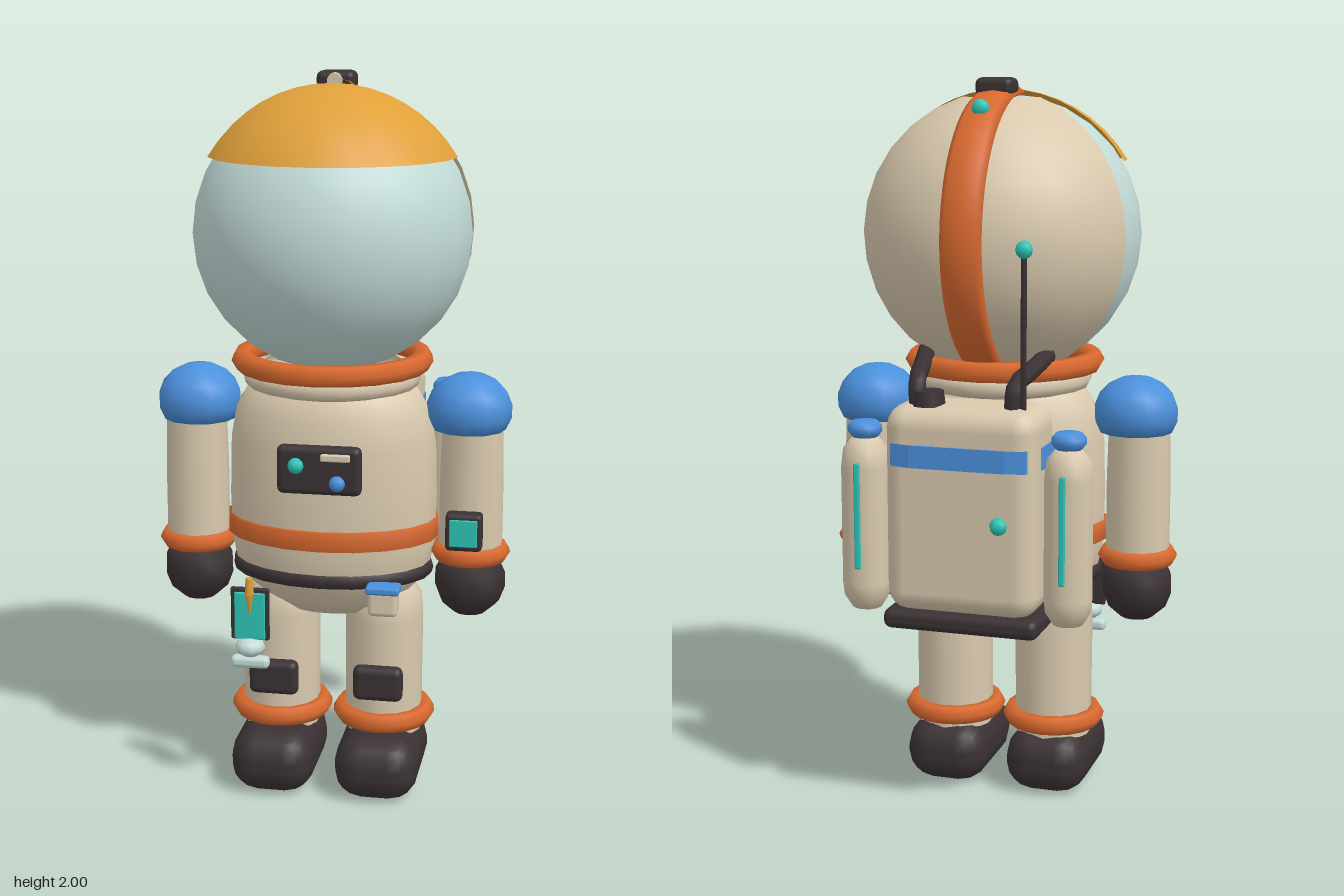
import * as THREE from 'three';
import { RoundedBoxGeometry } from 'three/addons/geometries/RoundedBoxGeometry.js';

const paint = (name, color) => {
  const m = new THREE.MeshStandardMaterial({ color });
  m.name = name;
  return m;
};

export function createModel() {
  const cream = paint('cream fabric', 0xd9c9ae);
  const orange = paint('orange trim', 0xd9692f);
  const blue = paint('blue shell', 0x4b90dc);
  const dark = paint('dark rubber', 0x3a3133);
  const glass = paint('pale glass', 0xc3dcd8);
  const gold = paint('gold visor', 0xe0a03a);
  const teal = paint('teal light', 0x2ec4b6);
  gold.side = cream.side = THREE.DoubleSide;

  const model = new THREE.Group();
  model.name = 'astronaut';
  const Z = 0.037; // body axis

  const add = (name, geo, mat, x = 0, y = 0, z = 0) => {
    const m = new THREE.Mesh(geo, mat);
    m.name = name;
    m.position.set(x, y, z);
    model.add(m);
    return m;
  };
  const box = (name, mat, w, h, d, r, x, y, z) =>
    add(name, new RoundedBoxGeometry(w, h, d, 2, r), mat, x, y, z);
  const lathe = (name, mat, pts, x, z, sides = 16, sz = 1) => {
    const g = new THREE.LatheGeometry(pts.map(p => new THREE.Vector2(p[0], p[1])), sides);
    g.scale(1, 1, sz);
    return add(name, g, mat, x, 0, z);
  };
  const ring = (name, R, tube, x, y, z, sz = 1) => {
    const g = new THREE.TorusGeometry(R, tube, 6, 20);
    g.rotateX(Math.PI / 2).scale(1, 1, sz);
    return add(name, g, orange, x, y, z);
  };
  const bead = (name, mat, r, x, y, z) =>
    add(name, new THREE.SphereGeometry(r, 8, 6), mat, x, y, z);

  // Helmet: glass globe, gold visor, rear shell and crest strap
  const hy = 1.578;
  add('helmetGlass', new THREE.SphereGeometry(0.378, 20, 14), glass, 0, hy, Z);
  add('visor', new THREE.SphereGeometry(0.391, 10, 8, 0, Math.PI, 0, 1.03), gold, 0, hy, Z);
  add('helmetShell', new THREE.SphereGeometry(0.387, 12, 12, Math.PI + 0.3, Math.PI - 0.6, 0.3, 2.5),
    cream, 0, hy, Z);
  const strap = new THREE.TorusGeometry(0.383, 0.02, 8, 24, 2.6);
  strap.rotateZ(Math.PI / 2).rotateY(-Math.PI / 2).scale(2.85, 1, 1);
  // keep the arc on the rear of the globe
  strap.computeBoundingBox();
  if (strap.boundingBox.max.z > 0.3) strap.rotateY(Math.PI);
  add('helmetStrap', strap, orange, 0, hy, Z);
  bead('strapLight', teal, 0.025, 0, 1.92, -0.175);
  box('headCamera', dark, 0.105, 0.05, 0.08, 0.018, 0, 1.974, -0.032);
  const lens = add('cameraLens', new THREE.CylinderGeometry(0.02, 0.022, 0.018, 10), cream, 0, 1.974, 0.008);
  lens.rotation.x = Math.PI / 2;

  // Neck and torso
  ring('neckRing', 0.248, 0.03, 0, 1.23, Z + 0.005);
  lathe('collar', cream, [[0.2, 1.15], [0.235, 1.16], [0.245, 1.18], [0.24, 1.205], [0.19, 1.22]], 0, Z, 20);
  lathe('torso', cream, [[0, 0.515], [0.14, 0.52], [0.21, 0.565], [0.262, 0.62], [0.275, 0.66], [0.288, 0.72],
    [0.292, 0.85], [0.288, 1.0], [0.272, 1.09], [0.235, 1.15], [0.19, 1.17], [0, 1.17]], 0, Z, 20, 0.7);
  lathe('waistBand', orange, [[0.28, 0.732], [0.298, 0.735], [0.298, 0.787], [0.28, 0.79]], 0, Z, 20, 0.715);
  lathe('belt', dark, [[0.25, 0.618], [0.28, 0.625], [0.285, 0.643], [0.28, 0.66], [0.25, 0.667]], 0, Z, 20, 0.7);

  // Chest panel
  box('chestPanel', dark, 0.23, 0.135, 0.04, 0.018, 0, 0.965, 0.245);
  bead('chestLight', teal, 0.022, -0.06, 0.98, 0.27);
  bead('chestButton', blue, 0.022, 0.052, 0.935, 0.27);
  box('chestBar', cream, 0.08, 0.02, 0.016, 0.005, 0.047, 1.005, 0.268);

  for (const s of [1, -1]) {
    const side = s > 0 ? 'left' : 'right';
    // Arm
    const ax = 0.388 * s;
    lathe(side + 'Arm', cream, [[0.088, 0.69], [0.088, 0.9], [0.083, 1.1]], ax, Z, 14);
    const cap = [[0, 1.04]];
    for (let i = 0; i <= 6; i++) {
      const a = -0.55 + (Math.PI / 2 + 0.55) * i / 6;
      cap.push([Math.max(0, 0.118 * Math.cos(a)), 1.1 + 0.102 * Math.sin(a)]);
    }
    lathe(side + 'Shoulder', blue, cap, 0.378 * s, Z, 12);
    ring(side + 'WristCuff', 0.083, 0.027, ax, 0.698, Z);
    lathe(side + 'Glove', dark, [[0, 0.515], [0.045, 0.52], [0.082, 0.553], [0.098, 0.595],
      [0.097, 0.64], [0.08, 0.675], [0, 0.69]], ax, Z, 12);

    // Leg
    const lx = 0.148 * s;
    lathe(side + 'Leg', cream, [[0.108, 0.16], [0.11, 0.5], [0.105, 0.56], [0.075, 0.61], [0, 0.63]], lx, Z, 14);
    ring(side + 'AnkleCuff', 0.117, 0.028, lx, 0.209, Z);
    box(side + 'Boot', dark, 0.237, 0.18, 0.36, 0.08, lx, 0.09, 0.075);
    box(side + 'KneePad', dark, 0.14, 0.1, 0.045, 0.02, lx, 0.33, 0.155);

    // Air tank with cap and gauge strip
    const tx = 0.282 * s, tz = -0.312;
    lathe(side + 'Tank', cream, [[0, 0.58], [0.04, 0.59], [0.062, 0.625], [0.066, 0.66], [0.066, 0.98],
      [0.06, 1.03], [0.035, 1.06], [0, 1.065]], tx, tz, 12);
    lathe(side + 'TankCap', blue, [[0, 1.06], [0.035, 1.06], [0.046, 1.075], [0.046, 1.09], [0.035, 1.103],
      [0, 1.105]], tx, tz, 10);
    box(side + 'TankGauge', teal, 0.016, 0.29, 0.016, 0.004, tx, 0.855, tz - 0.065);

    // Air hose from pack to neck ring
    const path = new THREE.CatmullRomCurve3([[0.13, 1.13, -0.315], [0.135, 1.215, -0.305],
      [0.15, 1.24, -0.23], [0.17, 1.27, -0.13]].map(p => new THREE.Vector3(p[0] * s, p[1], p[2])));
    add(side + 'Hose', new THREE.TubeGeometry(path, 10, 0.024, 8), dark);
    bead(side + 'HoseEnd', dark, 0.024, 0.17 * s, 1.27, -0.13);
  }

  // Backpack
  box('backpack', cream, 0.42, 0.56, 0.225, 0.06, 0, 0.88, -0.275);
  const band = new THREE.Shape();
  band.moveTo(-0.215, 0.16).lineTo(-0.215, 0.31).lineTo(-0.185, 0.38).lineTo(-0.13, 0.394)
    .lineTo(0.13, 0.394).lineTo(0.185, 0.38).lineTo(0.215, 0.31).lineTo(0.215, 0.16);
  const bandGeo = new THREE.ExtrudeGeometry(band, { depth: 0.06, bevelEnabled: false });
  add('backpackBand', bandGeo.rotateX(-Math.PI / 2), blue, 0, 1.0, 0);
  box('backpackBase', dark, 0.43, 0.055, 0.22, 0.022, 0, 0.578, -0.272);
  bead('backpackLight', teal, 0.024, -0.115, 0.86, -0.392);
  add('packValve', new THREE.CylinderGeometry(0.04, 0.045, 0.04, 10), dark, 0.1, 1.175, -0.315);
  add('antenna', new THREE.CylinderGeometry(0.008, 0.008, 0.44, 6), dark, -0.16, 1.35, -0.315);
  bead('antennaTip', teal, 0.024, -0.16, 1.57, -0.315);

  // Wrist screen on the left arm
  box('wristScreenCase', dark, 0.1, 0.105, 0.05, 0.012, 0.38, 0.783, 0.142);
  box('wristScreen', teal, 0.076, 0.076, 0.009, 0.003, 0.38, 0.783, 0.167);

  // Belt pouch
  box('beltPouch', cream, 0.082, 0.075, 0.055, 0.014, 0.172, 0.597, 0.225);
  box('pouchLid', blue, 0.092, 0.022, 0.062, 0.007, 0.172, 0.634, 0.226);

  // Hanging sample tool
  box('toolPlate', dark, 0.108, 0.15, 0.014, 0.006, -0.192, 0.55, 0.253);
  box('toolScreen', teal, 0.086, 0.135, 0.009, 0.004, -0.192, 0.545, 0.26);
  add('toolPointer', new THREE.ConeGeometry(0.013, 0.07, 8), gold, -0.192, 0.575, 0.264).rotation.x = Math.PI;
  add('toolHandle', new THREE.CylinderGeometry(0.01, 0.013, 0.045, 8), gold, -0.192, 0.632, 0.262);
  add('toolBulb', new THREE.SphereGeometry(0.042, 10, 6), glass, -0.192, 0.455, 0.258).scale.y = 0.65;
  box('toolFoot', glass, 0.108, 0.034, 0.036, 0.014, -0.192, 0.412, 0.258);

  return model;
}
